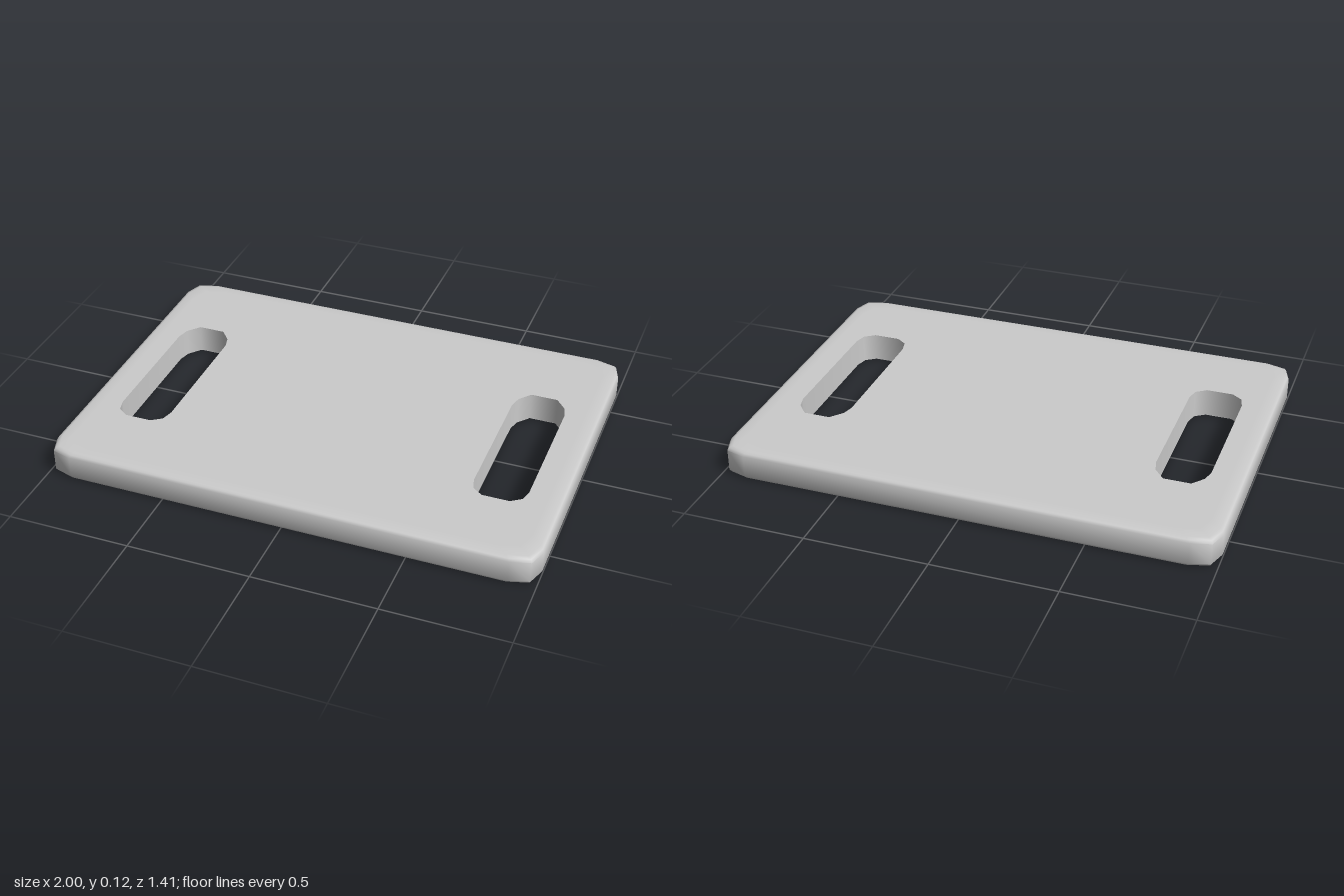
import * as THREE from 'three';
import { toCreasedNormals } from 'three/addons/utils/BufferGeometryUtils.js';

// Edge profile from bottom to top: [height, inset of the outer rim]
const LEVELS = [
  [0, 0.06], [0, 0.018], [0.004, 0.006], [0.015, 0],
  [0.103, 0], [0.114, 0.006], [0.118, 0.018], [0.118, 0.06],
];

const toPoints = (list) => list.map(([x, z]) => new THREE.Vector2(x, -z));

// Board outline with clipped, rounded corners
function boardOutline() {
  const corner = [[0.895, 0.706], [0.975, 0.683], [1, 0.61]];
  const mirrored = (sx, sz) => corner.map(([x, z]) => [x * sx, z * sz]);
  return toPoints([
    ...mirrored(1, 1), ...mirrored(1, -1).reverse(),
    ...mirrored(-1, -1), ...mirrored(-1, 1).reverse(),
  ]);
}

// Long handle slot with faceted ends, centred on cx
function slotOutline(cx) {
  const half = [[0.11, -0.24], [0.097, -0.29], [0.055, -0.34]];
  const far = [[0.055, 0.38], [0.097, 0.35], [0.11, 0.30]];
  const right = [...far, ...half];
  const left = right.map(([x, z]) => [-x, z]).reverse();
  return toPoints([...right, ...left].map(([x, z]) => [x + cx, z]));
}

function boardGeometry() {
  const shape = new THREE.Shape(boardOutline());
  for (const cx of [-0.755, 0.75]) shape.holes.push(new THREE.Path(slotOutline(cx)));
  const steps = LEVELS.length - 1;
  const geometry = new THREE.ExtrudeGeometry(shape, { depth: steps, steps, bevelEnabled: false });

  // Place each layer at its height and draw in the rim only, leaving the slots sharp
  const p = geometry.attributes.position;
  for (let i = 0; i < p.count; i++) {
    const [height, inset] = LEVELS[Math.round(p.getZ(i))];
    const x = p.getX(i), y = p.getY(i);
    const onRim = Math.abs(x) > 0.88 || Math.abs(y) > 0.5;
    const d = onRim ? inset : 0;
    p.setXYZ(i, x - Math.sign(x) * d, y - Math.sign(y) * d, height);
  }

  // Smooth at a larger scale so the fine rim points stay distinct
  geometry.rotateX(-Math.PI / 2).scale(20, 20, 20);
  return toCreasedNormals(geometry, 1.0).scale(0.05, 0.05, 0.05);
}

export function createModel() {
  const group = new THREE.Group();
  group.name = 'servingBoard';
  const board = new THREE.Mesh(
    boardGeometry(),
    new THREE.MeshStandardMaterial({ color: 0xcccccc }),
  );
  board.name = 'slottedBoard';
  group.add(board);
  return group;
}
